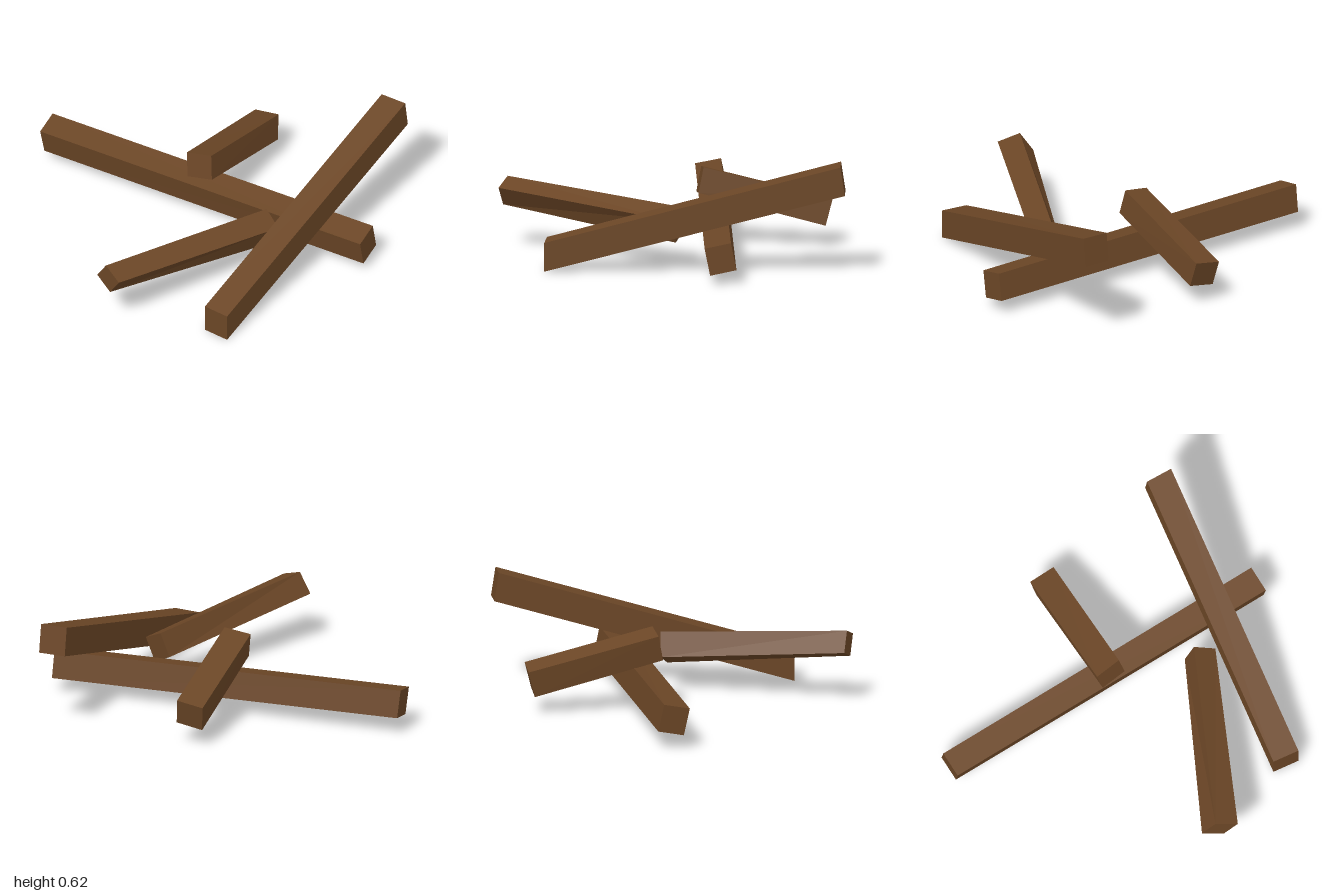
import * as THREE from 'three';

const wood = new THREE.MeshStandardMaterial({ color: 0x6b4626, flatShading: true });

// A beam between two cut ends; each end is [centre, across, up].
// A unit box supplies the faces: its z picks the end, x and y place the corner.
function beam(name, start, end) {
  const geo = new THREE.BoxGeometry(1, 1, 1);
  const pos = geo.attributes.position;
  for (let i = 0; i < pos.count; i++) {
    const [c, u, v] = pos.getZ(i) > 0 ? start : end;
    const x = pos.getX(i), y = pos.getY(i);
    pos.setXYZ(i, ...[0, 1, 2].map((k) => c[k] + u[k] * x + v[k] * y));
  }
  geo.computeVertexNormals();
  const mesh = new THREE.Mesh(geo, wood);
  mesh.name = name;
  return mesh;
}

export function createModel() {
  const group = new THREE.Group();
  group.name = 'beamPile';
  group.add(
    // long beam lying across the pile
    beam('crossBeam',
      [[-0.988, 0.161, -0.062], [0.02, -0.027, 0.14], [-0.005, 0.15, 0.032]],
      [[0.985, 0.142, -0.322], [0.02, -0.03, 0.142], [0, 0.15, 0.03]]),
    // long beam sloping up over it
    beam('leaningBeam',
      [[0.69, 0.08, 0.665], [0.15, 0, 0], [0, 0.16, 0]],
      [[0.69, 0.54, -0.96], [0.15, 0, -0.012], [0, 0.158, 0.024]]),
    // short beam resting at the back
    beam('shortBackBeam',
      [[0.002, 0.36, -0.106], [0.144, 0.025, -0.028], [-0.023, 0.138, -0.025]],
      [[-0.064, 0.18, -0.805], [0.147, 0.025, -0.015], [-0.02, 0.142, -0.035]]),
    // short rolled beam at the front
    beam('shortFrontBeam',
      [[0.163, 0.312, 0.94], [0.116, -0.042, 0.038], [0.073, 0.108, 0.018]],
      [[0.512, 0.22, -0.05], [0.11, -0.055, 0.04], [0.055, 0.13, 0]])
  );
  return group;
}
